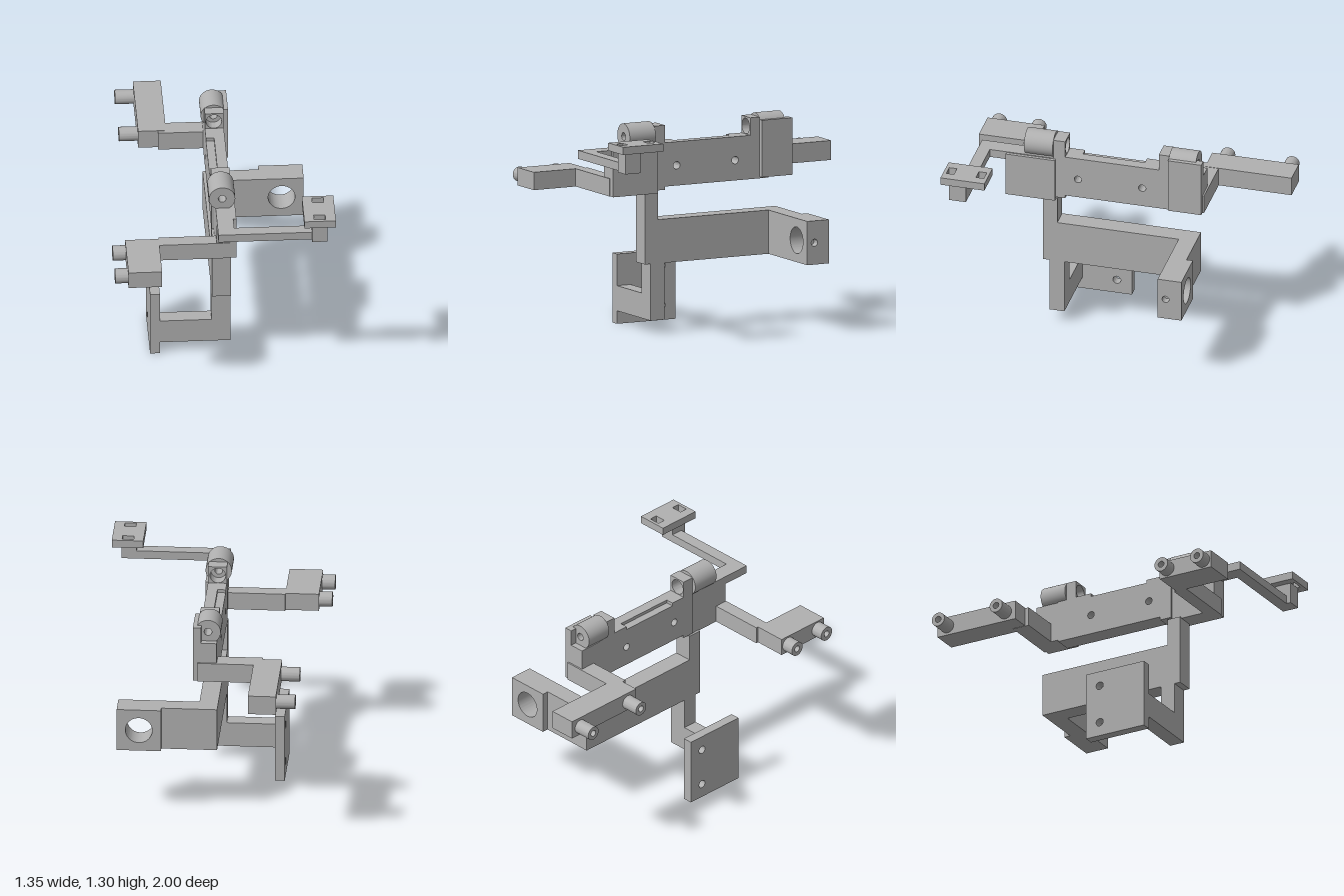
import * as THREE from 'three';
import { toCreasedNormals } from 'three/addons/utils/BufferGeometryUtils.js';

export function createModel() {
  const root = new THREE.Group();
  root.name = 'sensorBracketAssembly';
  const grey = new THREE.MeshStandardMaterial({ color: 0xb0b0b0 });
  grey.name = 'plain grey';

  const add = (name, geometry) => {
    const mesh = new THREE.Mesh(geometry, grey);
    mesh.name = name;
    root.add(mesh);
    return mesh;
  };

  // Box given by its limits on each axis
  const box = (name, [x0, x1], [y0, y1], [z0, z1]) =>
    add(name, new THREE.BoxGeometry(x1 - x0, y1 - y0, z1 - z0)
      .translate((x0 + x1) / 2, (y0 + y1) / 2, (z0 + z1) / 2));

  const rectPath = (path, x0, x1, y0, y1) => {
    path.moveTo(x0, y0);
    path.lineTo(x1, y0);
    path.lineTo(x1, y1);
    path.lineTo(x0, y1);
    path.closePath();
    return path;
  };
  const round = (x, y, r) => new THREE.Path().absarc(x, y, r, 0, Math.PI * 2, true);

  // Block with holes running through it along one axis
  const holed = (name, axis, [x0, x1], [y0, y1], [z0, z1], holes) => {
    const flat = {
      x: [-z1, -z0, y0, y1, x0, x1],
      y: [x0, x1, -z1, -z0, y0, y1],
      z: [x0, x1, y0, y1, z0, z1],
    }[axis];
    const shape = rectPath(new THREE.Shape(), ...flat.slice(0, 4));
    shape.holes.push(...holes);
    const g = new THREE.ExtrudeGeometry(shape, {
      depth: flat[5] - flat[4], bevelEnabled: false, curveSegments: 32,
    });
    g.translate(0, 0, flat[4]);
    if (axis === 'x') g.rotateY(Math.PI / 2);
    if (axis === 'y') g.rotateX(-Math.PI / 2);
    return add(name, toCreasedNormals(g, 0.6));
  };

  // Bored cylinder, centred on its own length
  const sleeve = (name, axis, outer, inner, length, [x, y, z]) => {
    const h = length / 2;
    const profile = [[inner, -h], [outer, -h], [outer, h], [inner, h], [inner, -h]]
      .map(([r, t]) => new THREE.Vector2(r, t));
    const g = new THREE.LatheGeometry(profile, 40);
    if (axis === 'x') g.rotateZ(-Math.PI / 2);
    if (axis === 'z') g.rotateX(Math.PI / 2);
    g.translate(x, y, z);
    return add(name, toCreasedNormals(g, 0.6));
  };

  const core = [-0.055, 0.06];

  // Lower mounting plate, its arm and the stepped post
  holed('lowerPlate', 'x', [-0.43, -0.37], [0, 0.43], [0.03, 0.435],
    [round(-0.125, 0.335, 0.025), round(-0.125, 0.09, 0.025)]);
  box('lowerArm', [-0.37, 0.06], [0.08, 0.235], [0.34, 0.435]);
  box('lowerPost', core, [0.235, 0.43], [0.34, 0.435]);
  box('upperPost', core, [0.43, 0.87], [0.385, 0.475]);

  // Lower beam with the large bored end block
  box('lowerBeam', core, [0.43, 0.70], [-0.49, 0.385]);
  box('lowerBeamArm', [0.06, 0.285], [0.43, 0.70], [-0.49, -0.38]);
  holed('boredBlock', 'z', [0.285, 0.508], [0.43, 0.70], [-0.53, -0.38],
    [round(0.42, 0.565, 0.082)]);
  holed('boredBlockEnd', 'x', [0.508, 0.555], [0.43, 0.70], [-0.53, -0.38],
    [round(0.43, 0.565, 0.022)]);

  // Upper beam with two cross holes and a shallow recess along its top
  holed('upperBeam', 'x', core, [0.90, 1.15], [-0.38, 0.35],
    [round(-0.255, 1.025, 0.023), round(0.15, 1.025, 0.023)]);
  box('upperBeamRidge', [-0.005, 0.06], [1.15, 1.17], [-0.38, 0.35]);
  box('upperBeamLipFront', [-0.055, -0.005], [1.15, 1.17], [0.24, 0.35]);
  box('upperBeamLipBack', [-0.055, -0.005], [1.15, 1.17], [-0.38, -0.15]);

  // Front clamp: socket collar, sleeve and body
  holed('frontCollar', 'z', core, [0.88, 1.278], [0.335, 0.41], [round(0, 1.22, 0.048)]);
  sleeve('frontSleeve', 'z', 0.08, 0.024, 0.18, [0, 1.22, 0.50]);
  box('frontBody', [-0.04, 0.08], [0.865, 1.147], [0.395, 0.705]);

  // Back clamp: socket collar, sleeve and body
  holed('backCollar', 'z', core, [1.17, 1.278], [-0.32, -0.255], [round(0, 1.22, 0.048)]);
  sleeve('backSleeve', 'z', 0.077, 0.024, 0.17, [0, 1.22, -0.405]);
  box('backBody', [-0.055, 0.09], [0.91, 1.16], [-0.53, -0.32]);
  box('backBodyCheek', [0.04, 0.09], [1.16, 1.262], [-0.53, -0.32]);

  // Front side arm, pad and pins
  box('frontArm', [-0.39, 0.04], [0.865, 0.975], [0.625, 0.71]);
  box('frontPad', [-0.595, -0.39], [0.865, 0.975], [0.64, 1.0]);
  for (const z of [0.695, 0.945])
    sleeve('frontPin', 'x', 0.046, 0.02, 0.08, [-0.635, 0.92, z]);

  // Back side arm, pad and pins
  box('backArm', [-0.33, -0.055], [0.91, 1.03], [-0.54, -0.43]);
  box('backArmRoot', [-0.055, 0.06], [0.91, 1.03], [-0.54, -0.53]);
  box('backPad', [-0.45, -0.28], [0.912, 1.032], [-1.0, -0.455]);
  for (const z of [-0.93, -0.525])
    sleeve('backPin', 'x', 0.044, 0.02, 0.115, [-0.5075, 0.97, z]);

  // Upper front arm carrying the slotted plate
  box('topArmRoot', [-0.04, 0.06], [1.10, 1.152], [0.41, 0.885]);
  box('topArm', [0.06, 0.53], [1.10, 1.152], [0.81, 0.885]);
  box('topArmFoot', [0.53, 0.622], [1.10, 1.232], [0.81, 0.915]);
  holed('slottedPlate', 'y', [0.48, 0.672], [1.23, 1.278], [0.68, 0.957], [
    rectPath(new THREE.Path(), 0.54, 0.61, -0.75, -0.70),
    rectPath(new THREE.Path(), 0.54, 0.61, -0.937, -0.888),
  ]);

  return root;
}
